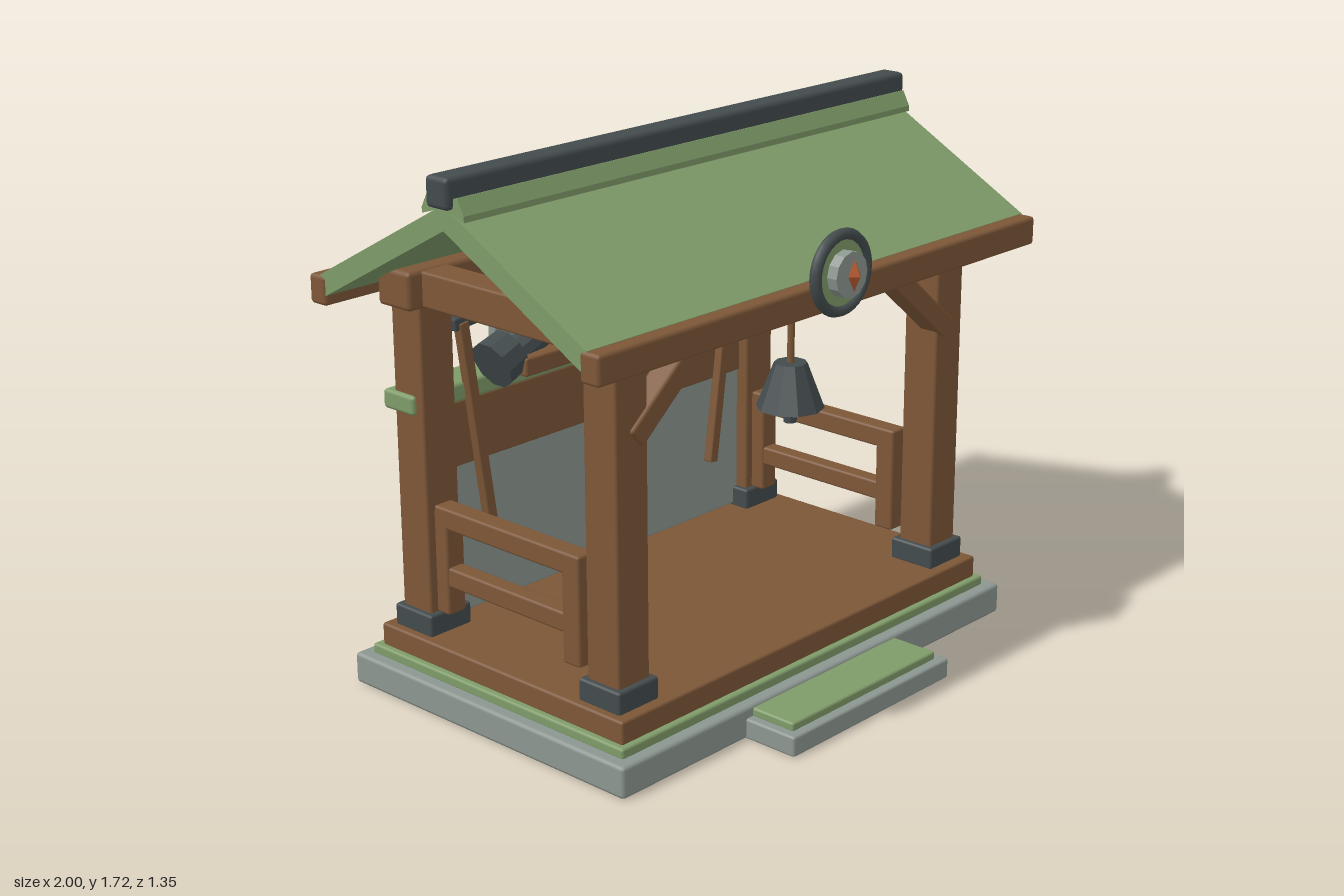
import * as THREE from 'three';
import { RoundedBoxGeometry } from 'three/addons/geometries/RoundedBoxGeometry.js';

const mat = (color, flatShading = false) => new THREE.MeshStandardMaterial({ color, flatShading });
const wood = mat(0x7d5738), green = mat(0x7f9b69), stone = mat(0x8c9690), dark = mat(0x434b4d);
const iron = mat(0x434b4d, true), ember = mat(0xb5592f, true), plaster = mat(0x8c9690, true);

export function createModel() {
  const root = new THREE.Group();
  root.name = 'shrineShelter';

  const add = (name, geo, material, x = 0, y = 0, z = 0) => {
    const m = new THREE.Mesh(geo, material);
    m.name = name;
    m.position.set(x, y, z);
    root.add(m);
    return m;
  };
  // Softly bevelled box given by its extents
  const box = (name, material, x0, x1, y0, y1, z0, z1, r = 0.008) => {
    const w = x1 - x0, h = y1 - y0, d = z1 - z0;
    const geo = new RoundedBoxGeometry(w, h, d, 1, Math.min(r, w / 4, h / 4, d / 4));
    return add(name, geo, material, (x0 + x1) / 2, (y0 + y1) / 2, (z0 + z1) / 2);
  };
  // Bevelled bar from a to b in an x-y plane at depth z
  const bar = (name, material, [ax, ay], [bx, by], z, h, d) => {
    const geo = new RoundedBoxGeometry(Math.hypot(bx - ax, by - ay), h, d, 1, Math.min(h, d) / 8);
    const m = add(name, geo, material, (ax + bx) / 2, (ay + by) / 2, z);
    m.rotation.z = Math.atan2(by - ay, bx - ax);
    return m;
  };
  // Cylinder from a to b in an x-y plane at depth z
  const rod = (name, material, [ax, ay], [bx, by], z, r0, r1, sides) => {
    const geo = new THREE.CylinderGeometry(r1, r0, Math.hypot(bx - ax, by - ay), sides);
    const m = add(name, geo, material, (ax + bx) / 2, (ay + by) / 2, z);
    m.rotation.z = Math.atan2(by - ay, bx - ax) - Math.PI / 2;
    return m;
  };
  // Profile of [z, y] points extruded along x, centred
  const extrudeX = (name, material, pts, width) => {
    const shape = new THREE.Shape(pts.map(([z, y]) => new THREE.Vector2(-z, y)));
    const geo = new THREE.ExtrudeGeometry(shape, { depth: width, bevelEnabled: false });
    geo.translate(0, 0, -width / 2);
    geo.rotateY(Math.PI / 2);
    return add(name, geo, material);
  };

  // Stepped base
  box('foundation', stone, -0.89, 0.89, 0, 0.10, -0.66, 0.495, 0.012);
  box('frontStep', stone, -0.37, 0.37, 0, 0.065, 0.45, 0.68);
  box('stepMat', green, -0.34, 0.34, 0.06, 0.09, 0.485, 0.65);
  box('baseTrim', green, -0.85, 0.85, 0.095, 0.13, -0.62, 0.455);
  box('floor', wood, -0.83, 0.83, 0.125, 0.20, -0.595, 0.435);

  // Posts on footings, with a lintel over each row
  for (const z of [0.317, -0.478]) {
    for (const x of [-0.722, 0.722]) {
      box('footing', dark, x - 0.082, x + 0.082, 0.195, 0.268, z - 0.082, z + 0.082);
      box('post', wood, x - 0.064, x + 0.064, 0.2, 1.25, z - 0.063, z + 0.063);
    }
    box('lintel', wood, -0.83, 0.83, 1.23, 1.35, z - 0.07, z + 0.07, 0.015);
  }

  // Things mirrored on both sides
  for (const s of [-1, 1]) {
    const x = s * 0.722;
    box('sideBeam', wood, x - 0.055, x + 0.055, 1.235, 1.345, -0.54, 0.38);
    bar('cornerBrace', wood, [s * 0.71, 1.0], [s * 0.40, 1.26], 0.35, 0.072, 0.08);
    // Side railing
    box('railTop', wood, x - 0.035, x + 0.035, 0.545, 0.612, -0.42, 0.195);
    box('railMiddle', wood, x - 0.03, x + 0.03, 0.357, 0.42, -0.42, 0.18);
    for (const z of [0.16, -0.40]) box('railLeg', wood, x - 0.035, x + 0.035, 0.265, 0.6, z - 0.035, z + 0.035);
    // Leaning long-handled tool
    bar('toolHandle', wood, [s * 0.5, 0.405], [s * 0.607, 1.15], -0.437, 0.036, 0.034);
    bar('toolHead', iron, [s * 0.45, 1.165], [s * 0.64, 1.145], -0.445, 0.04, 0.04);
  }

  // Back wall
  box('wallPanel', stone, -0.76, 0.76, 0.205, 0.695, -0.558, -0.46);
  box('wallBoard', wood, -0.76, 0.76, 0.69, 0.90, -0.545, -0.45);
  box('wallSill', green, -0.80, 0.80, 0.895, 0.957, -0.58, -0.445, 0.012);
  box('upperPanel', plaster, -0.435, 0.435, 0.95, 1.24, -0.51, -0.475);
  box('toolShelf', wood, -0.52, 0.52, 0.993, 1.052, -0.42, -0.25);

  // Tools lying on the shelf
  rod('malletBody', iron, [-0.56, 1.02], [-0.30, 1.12], -0.33, 0.052, 0.042, 10);
  rod('malletCollar', iron, [-0.585, 1.03], [-0.51, 1.06], -0.33, 0.08, 0.075, 10);
  bar('malletGrip', ember, [-0.29, 1.08], [-0.115, 1.13], -0.33, 0.03, 0.03);
  bar('looseGrip', ember, [0.07, 1.075], [0.28, 0.985], -0.33, 0.03, 0.03);

  // Gabled roof with eaves and ridge
  const ridge = -0.082;
  const chevron = (half, yIn, yOut, slope, lean) => [
    [ridge - half + lean, yIn - half * slope], [ridge, yIn], [ridge + half - lean, yIn - half * slope],
    [ridge + half, yOut - half * slope], [ridge, yOut], [ridge - half, yOut - half * slope],
  ];
  extrudeX('roof', green, chevron(0.545, 1.563, 1.636, 0.55, 0), 1.95);
  extrudeX('ridgeCap', green, [[-0.167, 1.60], [ridge, 1.63], [0.003, 1.60], [0.003, 1.618],
    [-0.022, 1.665], [-0.04, 1.66], [-0.124, 1.66], [-0.142, 1.665], [-0.167, 1.618]], 1.95);
  box('ridgeBeam', dark, -1, 1, 1.627, 1.72, ridge - 0.044, ridge + 0.044, 0.015);
  box('frontEave', wood, -0.98, 0.98, 1.243, 1.335, 0.44, 0.512, 0.012);
  box('backEave', wood, -0.98, 0.98, 1.243, 1.335, -0.672, -0.602, 0.012);

  // Round emblem on the front eave
  const disc = (name, material, r, z0, z1, sides) => {
    const geo = new THREE.CylinderGeometry(r, r, z1 - z0, sides).rotateX(Math.PI / 2);
    return add(name, geo, material, 0, 1.357, (z0 + z1) / 2);
  };
  add('emblemRing', new THREE.TorusGeometry(0.114, 0.018, 8, 32), dark, 0, 1.357, 0.522);
  disc('emblemPlate', green, 0.1, 0.507, 0.528, 24);
  disc('emblemBoss', plaster, 0.07, 0.52, 0.563, 12);
  add('emblemGem', new THREE.OctahedronGeometry(1), ember, 0, 1.357, 0.572).scale.set(0.027, 0.048, 0.022);

  // Hanging bell
  rod('bellRod', wood, [0, 1.03], [0, 1.25], 0.337, 0.011, 0.011, 8);
  rod('bell', iron, [0, 0.908], [0, 1.047], 0.337, 0.103, 0.05, 10);
  rod('bellClapper', iron, [0, 0.86], [0, 0.92], 0.337, 0.02, 0.02, 8);

  return root;
}
